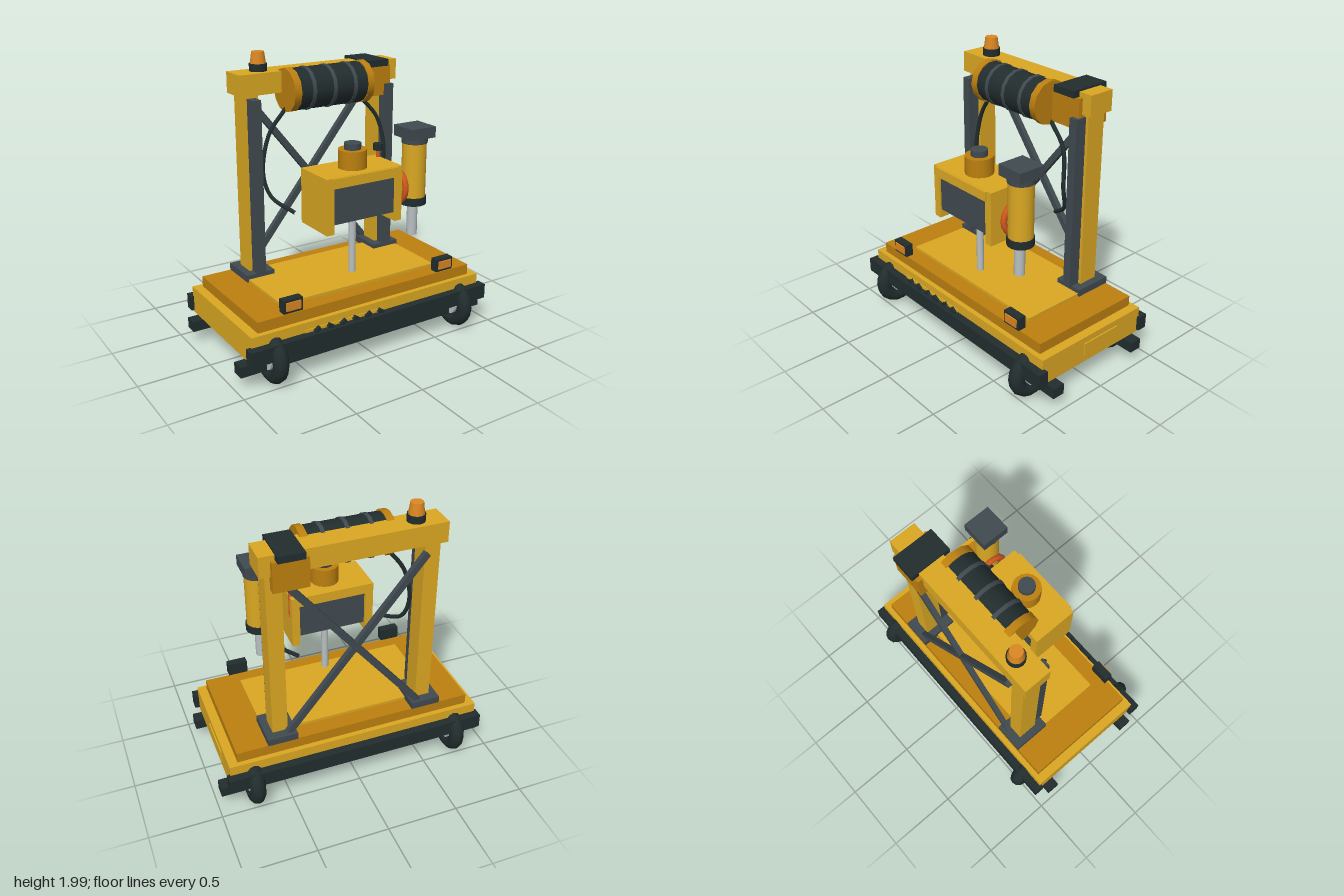
import * as THREE from 'three';

const mat = (name, color) => Object.assign(new THREE.MeshStandardMaterial({ color }), { name });

export function createModel() {
  const yellow = mat('yellow', 0xdba823), ochre = mat('ochre', 0xbd8010);
  const black = mat('black rubber', 0x222d2e), grey = mat('slate grey', 0x404a50);
  const steel = mat('steel', 0xb9bfc2), red = mat('red orange', 0xd4591f);
  const amber = mat('amber', 0xdb8722);
  const model = new THREE.Group();
  model.name = 'drillingRig';

  const add = (name, geo, m, x = 0, y = 0, z = 0) => {
    const mesh = new THREE.Mesh(geo, m);
    mesh.name = name;
    mesh.position.set(x, y, z);
    model.add(mesh);
    return mesh;
  };
  // Box given by its limits on each axis
  const box = (name, m, x0, x1, y0, y1, z0, z1) =>
    add(name, new THREE.BoxGeometry(x1 - x0, y1 - y0, z1 - z0), m, (x0 + x1) / 2, (y0 + y1) / 2, (z0 + z1) / 2);
  // Upright cylinder from y0 to y1
  const post = (name, m, x, z, r, y0, y1, rTop = r, n = 16) =>
    add(name, new THREE.CylinderGeometry(rTop, r, y1 - y0, n), m, x, (y0 + y1) / 2, z);
  // Cylinder along x
  const roller = (name, m, x0, x1, y, z, r, n = 14) =>
    add(name, new THREE.CylinderGeometry(r, r, x1 - x0, n).rotateZ(Math.PI / 2), m, (x0 + x1) / 2, y, z);
  const hose = (name, pts) => add(name, new THREE.TubeGeometry(
    new THREE.CatmullRomCurve3(pts.map(p => new THREE.Vector3(...p))), 24, 0.014, 8), black);

  // Chassis and decks
  box('chassis', yellow, -0.91, 0.91, 0.19, 0.38, -0.45, 0.45);
  box('upperDeck', ochre, -0.847, 0.847, 0.38, 0.455, -0.415, 0.415);
  box('deckPlate', yellow, -0.618, 0.618, 0.455, 0.475, -0.3, 0.3);
  box('sideHatch', yellow, 0.91, 0.919, 0.24, 0.335, -0.225, 0.08);
  box('frontStrip', yellow, -0.53, 0.07, 0.29, 0.33, 0.45, 0.458);
  const drain = post('drillGuide', steel, 0, 0.19, 0.06, 0.16, 0.2);
  drain.scale.z = 0.42;

  // Bumpers, axles and wheels
  box('frontBumper', black, -0.943, 0.943, 0.205, 0.31, 0.435, 0.507);
  box('rearBumper', black, -0.93, 0.93, 0.205, 0.31, -0.507, -0.435);
  for (const s of [1, -1]) {
    box('axle', black, -0.973, 0.973, 0.1, 0.175, s * 0.365 - 0.045, s * 0.365 + 0.045);
    for (const x of [-0.745, 0.745]) {
      add('tyre', new THREE.TorusGeometry(0.122, 0.053, 10, 18).rotateY(Math.PI / 2), black, x, 0.178, s * 0.397);
      roller('hub', steel, x - 0.045, x + 0.045, 0.178, s * 0.397, 0.075);
      box('wheelBracket', ochre, x - 0.073, x + 0.073, 0.165, 0.2, s * 0.4 - 0.04, s * 0.4 + 0.04);
    }
  }
  for (let i = 0; i < 6; i++)
    add('bumperCleat', new THREE.BoxGeometry(0.045, 0.03, 0.02), black, -0.45 + i * 0.099, 0.323, 0.475)
      .rotation.z = i % 2 ? -0.6 : 0.6;

  // Deck lamps
  for (const x of [-0.607, 0.607]) {
    box('lampHousing', black, x - 0.07, x + 0.07, 0.475, 0.565, 0.385, 0.443);
    box('lampLens', amber, x - 0.053, x + 0.053, 0.493, 0.55, 0.443, 0.452);
  }

  // Masts, rails and feet
  for (const x of [-0.525, 0.525]) {
    box('mast', yellow, x - 0.053, x + 0.053, 0.5, 1.755, -0.355, -0.215);
    box('mastRail', grey, x - 0.031, x + 0.031, 0.5, 1.71, -0.215, -0.132);
    box('mastFoot', grey, x - 0.105, x + 0.105, 0.455, 0.505, -0.42, -0.15);
  }
  // Crossed braces behind the masts
  for (const s of [1, -1])
    add('crossBrace', new THREE.BoxGeometry(0.045, Math.hypot(0.95, 1.18), 0.036), grey, 0, 1.09, -0.379)
      .rotation.z = s * Math.atan2(0.95, 1.18);

  // Top beam, winch motor and beacon
  box('topBeam', yellow, -0.617, 0.617, 1.73, 1.872, -0.378, -0.19);
  box('winchMotor', ochre, 0.31, 0.545, 1.63, 1.838, -0.412, -0.16);
  box('motorCover', black, 0.34, 0.515, 1.838, 1.885, -0.433, -0.14);
  post('beaconBase', black, -0.43, -0.287, 0.06, 1.87, 1.922);
  post('beacon', amber, -0.43, -0.287, 0.053, 1.922, 2, 0.042);

  // Winch drum
  roller('drum', black, -0.26, 0.26, 1.752, -0.152, 0.14);
  for (const x of [-0.285, 0.285]) roller('drumFlange', ochre, x - 0.025, x + 0.025, 1.752, -0.152, 0.148, 12);
  for (const x of [-0.16, 0, 0.16]) roller('drumBand', grey, x - 0.013, x + 0.013, 1.752, -0.152, 0.146);

  // Hoses hanging from the drum
  hose('rightHose', [[-0.3, 1.63, -0.16], [-0.42, 1.46, -0.18], [-0.475, 1.2, -0.17], [-0.445, 1.05, -0.12], [-0.36, 0.97, 0.05]]);
  hose('leftHose', [[0.3, 1.63, -0.16], [0.43, 1.48, -0.15], [0.475, 1.22, -0.12], [0.45, 1.06, -0.16], [0.33, 0.97, -0.2]]);

  // Drill head
  box('headCore', grey, -0.24, 0.24, 0.945, 1.2, 0.045, 0.33);
  box('headTop', yellow, -0.295, 0.295, 1.195, 1.265, 0.022, 0.342);
  box('headLip', yellow, -0.255, 0.255, 1.197, 1.263, 0.342, 0.355);
  for (const x of [-0.267, 0.267]) box('headCheek', yellow, x - 0.028, x + 0.028, 0.885, 1.195, 0.022, 0.342);
  post('headMotor', ochre, 0, 0.188, 0.098, 1.265, 1.39);
  post('headCap', grey, 0, 0.188, 0.058, 1.39, 1.432);
  post('drillRod', steel, 0, 0.19, 0.025, 0.522, 0.95);

  // Hydraulic ram
  post('ramBarrel', yellow, 0.468, 0.242, 0.084, 0.99, 1.385);
  post('ramCollar', black, 0.468, 0.242, 0.092, 0.945, 1.0);
  post('ramNeck', grey, 0.468, 0.242, 0.09, 1.38, 1.42);
  box('ramCap', grey, 0.368, 0.568, 1.42, 1.495, 0.142, 0.342);
  post('ramRod', steel, 0.463, 0.245, 0.037, 0.72, 0.95);

  // Handwheel and lever
  add('handwheel', new THREE.TorusGeometry(0.114, 0.021, 8, 20).rotateY(Math.PI / 2), red, 0.364, 1.075, 0.18);
  roller('handwheelHub', black, 0.33, 0.4, 1.075, 0.18, 0.032);
  post('lever', red, 0.284, 0.077, 0.015, 1.1, 1.32);
  post('leverKnob', black, 0.284, 0.077, 0.035, 1.315, 1.36);

  return model;
}
